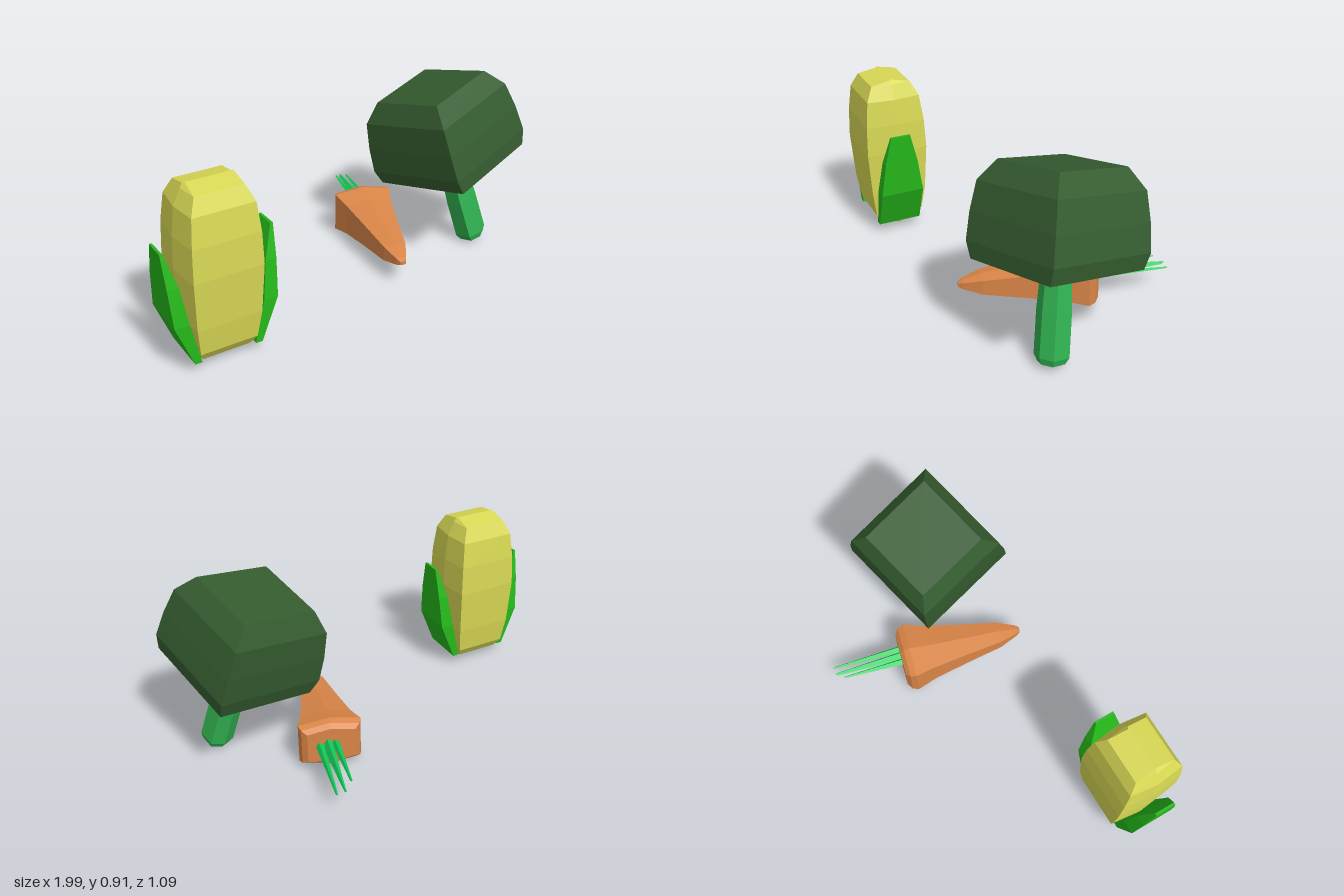
import * as THREE from 'three';

const V = (x, y, z) => new THREE.Vector3(x, y, z);
const mat = (color) => new THREE.MeshStandardMaterial({ color, flatShading: true });

// Closed skin over stacked sections; rows are [y, halfX, halfZ, shiftX],
// the section lists [x, z] corners turning from +x towards +z.
function loft(section, rows) {
  const rings = rows.map(([y, hx, hz, ox = 0]) => section.map(([x, z]) => V(ox + x * hx, y, z * hz)));
  const n = section.length;
  const pts = [];
  for (let i = 0; i < rings.length - 1; i++) {
    for (let j = 0; j < n; j++) {
      const k = (j + 1) % n;
      const [a, b, c, d] = [rings[i][j], rings[i][k], rings[i + 1][j], rings[i + 1][k]];
      pts.push(a, c, b, b, c, d);
    }
  }
  const first = rings[0], last = rings[rings.length - 1];
  for (let j = 1; j < n - 1; j++) {
    pts.push(first[0], first[j], first[j + 1], last[0], last[j + 1], last[j]);
  }
  const g = new THREE.BufferGeometry().setFromPoints(pts);
  g.computeVertexNormals();
  return g;
}

function part(name, geometry, material, parent) {
  const m = new THREE.Mesh(geometry, material);
  m.name = name;
  parent.add(m);
  return m;
}

// Group placed at a point with its own x, y and z axes
function framed(name, origin, x, y) {
  const g = new THREE.Group();
  g.name = name;
  const up = y.clone().normalize();
  const side = x.clone().addScaledVector(up, -x.dot(up)).normalize();
  const front = V(0, 0, 0).crossVectors(side, up);
  g.quaternion.setFromRotationMatrix(new THREE.Matrix4().makeBasis(side, up, front));
  g.position.copy(origin);
  return g;
}

const SQUARE = [[1, 1], [-1, 1], [-1, -1], [1, -1]];

function makeCorn() {
  const corn = new THREE.Group();
  corn.name = 'corn';
  corn.position.set(-0.748, 0, 0.385);

  // Cob: slightly bulging sides, ridged at both ends
  const cobSection = [[1, 0], [0.9, 1], [-0.9, 1], [-1, 0], [-0.9, -1], [0.9, -1]];
  part('cob', loft(cobSection, [
    [0.012, 0.11, 0.003], [0.042, 0.12, 0.093], [0.09, 0.146, 0.125], [0.22, 0.164, 0.143],
    [0.45, 0.175, 0.157], [0.6, 0.17, 0.151], [0.73, 0.156, 0.135], [0.8, 0.122, 0.1], [0.82, 0.112, 0.003],
  ]), mat(0xd8d855), corn);

  // Husk leaves, one each side
  const leafRows = [
    [0.05, 0.157, 0.125, 0.11], [0.25, 0.236, 0.17, 0.11], [0.42, 0.246, 0.195, 0.085], [0.57, 0.252, 0.24, 0.05],
  ].map(([y, out, inn, hz]) => [y, (out - inn) / 2, hz, (out + inn) / 2]);
  const leafGeo = loft(SQUARE, leafRows);
  const leafMat = mat(0x25b81a);
  for (const [name, turn] of [['leftHuskLeaf', 0], ['rightHuskLeaf', Math.PI]]) {
    const leaf = part(name, leafGeo, leafMat, corn);
    leaf.rotation.y = turn;
    leaf.position.z = 0.01;
  }
  return corn;
}

function makeBroccoli() {
  // Origin at the underside of the head, y along the stalk
  const broccoli = framed('broccoli', V(0.6975, 0.425, 0.1475), V(0.945, 0.203, -0.254), V(-0.245, 0.954, -0.172));
  part('broccoliHead', loft(SQUARE, [
    [0, 0.25, 0.258], [0.075, 0.273, 0.268], [0.2, 0.266, 0.261], [0.332, 0.248, 0.245], [0.425, 0.19, 0.187],
  ]), mat(0x355c30), broccoli);

  const stalkSection = [[1, 0.65], [0, 1], [-1, 0.65], [-1, -0.65], [0, -1], [1, -0.65]];
  part('broccoliStalk', loft(stalkSection, [
    [-0.425, 0.05, 0.054], [-0.395, 0.064, 0.068], [-0.2, 0.064, 0.066], [0.05, 0.052, 0.054],
  ]), mat(0x30b050), broccoli);
  return broccoli;
}

function makeCarrot() {
  const group = new THREE.Group();
  group.name = 'carrot';

  // Root lying on its side, tip forward
  const root = framed('carrotRoot', V(0.222, 0.1225, 0.4), V(0.966, 0, 0.259), V(0.259, 0, -0.966));
  const section = [[1, 0.8], [0, 1], [-1, 0.8], [-1, -0.8], [0, -1], [1, -0.8]];
  part('rootBody', loft(section, [
    [0, 0.01], [0.02, 0.02], [0.11, 0.046], [0.31, 0.073], [0.485, 0.099], [0.585, 0.1225], [0.615, 0.114], [0.635, 0.094],
  ].map(([y, r]) => [y, r * 1.2, r])), mat(0xd98547), root);
  group.add(root);

  // Thin pointed greens
  const green = mat(0x13cc58);
  const sprigs = [
    [V(0.36, 0.135, -0.18), V(0.437, 0.15, -0.515)],
    [V(0.395, 0.145, -0.18), V(0.482, 0.133, -0.545)],
    [V(0.435, 0.13, -0.18), V(0.52, 0.125, -0.54)],
    [V(0.4, 0.113, -0.18), V(0.478, 0.124, -0.54)],
  ];
  for (const [base, tip] of sprigs) {
    const dir = tip.clone().sub(base);
    const sprig = part('carrotSprig', new THREE.CylinderGeometry(0.005, 0.02, dir.length(), 4), green, group);
    sprig.position.copy(base).add(tip).multiplyScalar(0.5);
    sprig.quaternion.setFromUnitVectors(V(0, 1, 0), dir.normalize());
  }
  return group;
}

export function createModel() {
  const model = new THREE.Group();
  model.name = 'vegetables';
  model.add(makeCorn(), makeBroccoli(), makeCarrot());
  return model;
}
